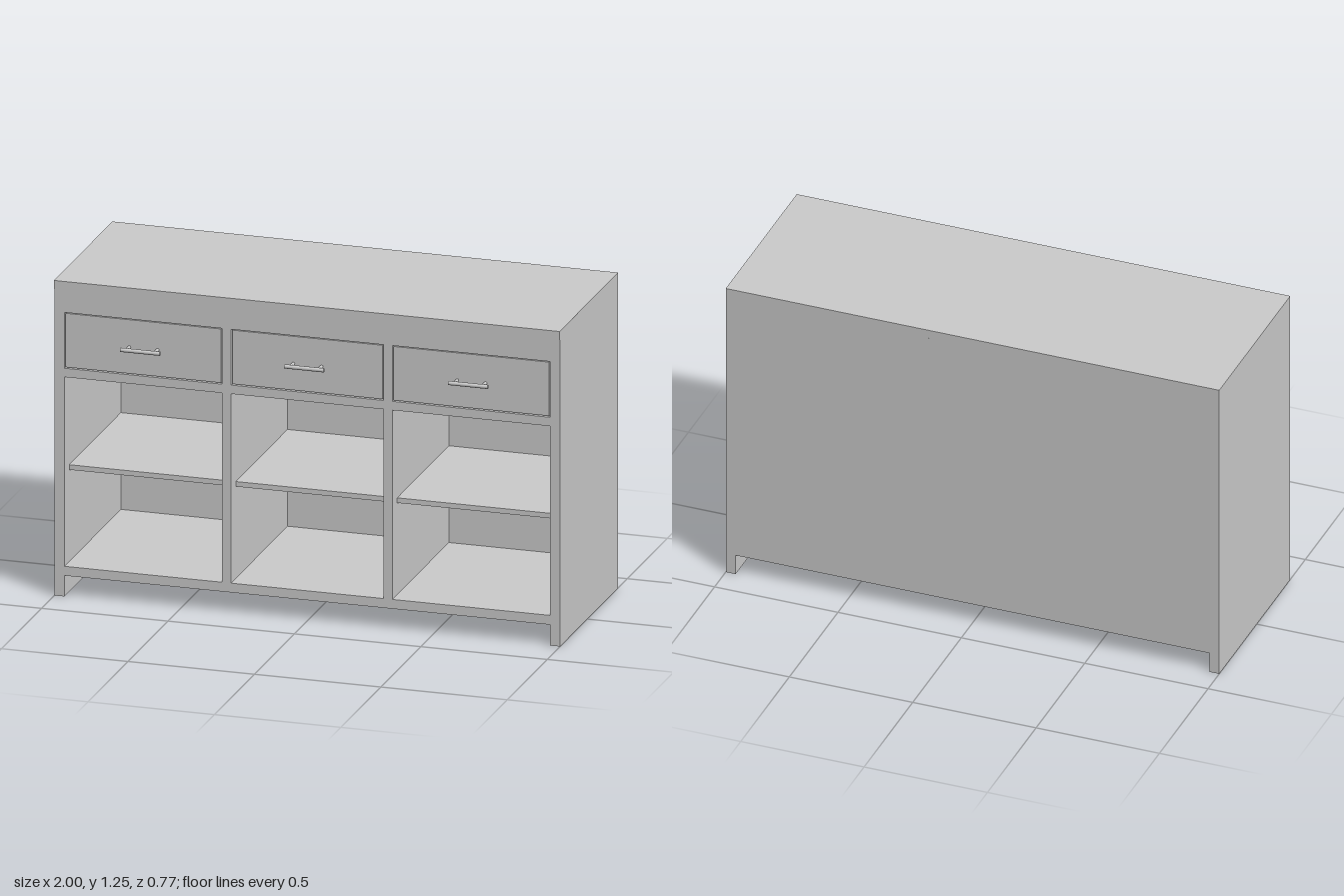
import * as THREE from 'three';

const material = new THREE.MeshStandardMaterial({ color: 0xcccccc });
const BACK = -0.385, FRONT = 0.34, INNER_BACK = -0.365;

// Box given by its minimum and maximum on each axis
function panel(parent, name, [x0, x1], [y0, y1], [z0, z1]) {
  const mesh = new THREE.Mesh(new THREE.BoxGeometry(x1 - x0, y1 - y0, z1 - z0), material);
  mesh.position.set((x0 + x1) / 2, (y0 + y1) / 2, (z0 + z1) / 2);
  mesh.name = name;
  parent.add(mesh);
}

// Round bar handle on two posts, its origin on the drawer face
function createHandle() {
  const handle = new THREE.Group();
  handle.name = 'handle';
  const bar = new THREE.Mesh(new THREE.CylinderGeometry(0.008, 0.008, 0.156, 20), material);
  bar.name = 'handleBar';
  bar.rotation.z = Math.PI / 2;
  bar.position.z = 0.042;
  handle.add(bar);
  for (const side of [-1, 1]) {
    const post = new THREE.Mesh(new THREE.CylinderGeometry(0.006, 0.006, 0.042, 16), material);
    post.name = 'handlePost';
    post.rotation.x = Math.PI / 2;
    post.position.set(side * 0.056, 0, 0.021);
    handle.add(post);
  }
  return handle;
}

export function createModel() {
  const model = new THREE.Group();
  model.name = 'sideboard';

  // Carcass
  panel(model, 'top', [-1, 1], [1.22, 1.255], [BACK, 0.345]);
  for (const side of [-1, 1]) {
    const x = side * 0.98;
    panel(model, 'sidePanel', [x - 0.02, x + 0.02], [0, 1.22], [BACK, FRONT]);
  }
  panel(model, 'back', [-0.96, 0.96], [0.083, 1.22], [BACK, INNER_BACK]);
  panel(model, 'bottom', [-0.96, 0.96], [0.083, 0.12], [INNER_BACK, FRONT]);
  panel(model, 'topRail', [-0.96, 0.96], [1.13, 1.22], [0.3, FRONT]);

  // Uprights between the three bays
  for (const side of [-1, 1]) {
    const x = side * 0.319;
    panel(model, 'divider', [x - 0.018, x + 0.018], [0.12, 1.13], [INNER_BACK, FRONT]);
  }

  // Each bay: drawer deck, shelf set back from the front, drawer with handle
  for (const [x0, x1] of [[-0.96, -0.337], [-0.301, 0.301], [0.337, 0.96]]) {
    const bay = new THREE.Group();
    bay.name = 'bay';
    panel(bay, 'drawerDeck', [x0, x1], [0.873, 0.908], [INNER_BACK, FRONT]);
    panel(bay, 'shelf', [x0, x1], [0.485, 0.505], [INNER_BACK, 0.28]);
    panel(bay, 'drawerFront', [x0 + 0.004, x1 - 0.004], [0.912, 1.126], [0.3, FRONT - 0.003]);
    const handle = createHandle();
    handle.position.set((x0 + x1) / 2, 1.017, FRONT - 0.005);
    bay.add(handle);
    model.add(bay);
  }
  return model;
}
